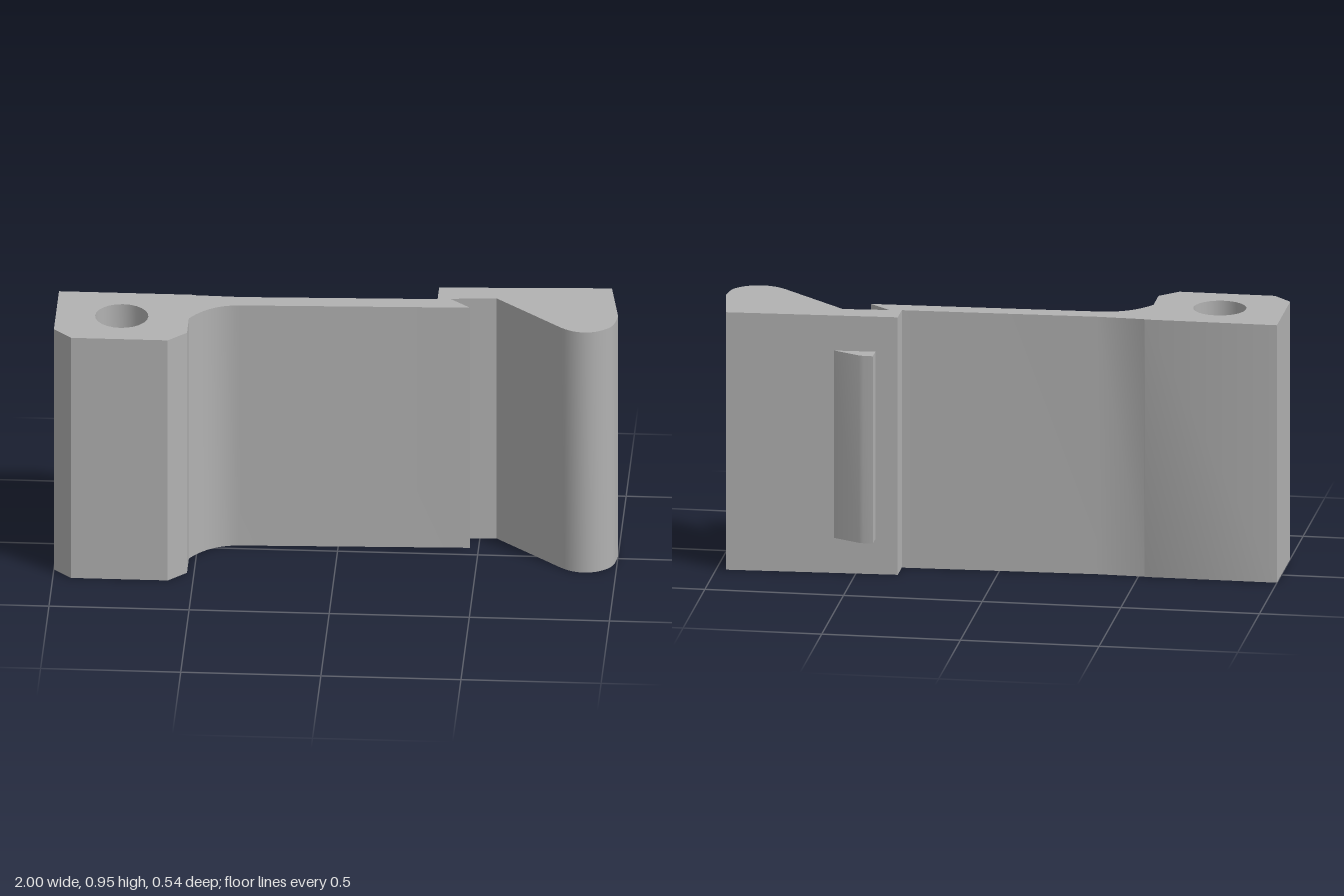
import * as THREE from 'three';
import { toCreasedNormals } from 'three/addons/utils/BufferGeometryUtils.js';

const HEIGHT = 0.955;

// Upright prism from a plan shape drawn in (x, -z)
function prism(name, shape, height, base, material) {
  const flat = new THREE.ExtrudeGeometry(shape, { depth: height, bevelEnabled: false, curveSegments: 12 });
  flat.rotateX(-Math.PI / 2);
  const mesh = new THREE.Mesh(toCreasedNormals(flat, 0.55), material);
  mesh.name = name;
  mesh.position.y = base;
  return mesh;
}

export function createModel() {
  const group = new THREE.Group();
  group.name = 'hingeClip';
  const grey = new THREE.MeshStandardMaterial({ color: 0xb2b2b2 });
  grey.name = 'plain grey';

  // Pivot block, thin arm, hook and finger grip in one continuous plan
  const plan = new THREE.Shape();
  const line = (...points) => points.forEach(([x, z]) => plan.lineTo(x, -z));
  plan.moveTo(-1, 0.1);
  // block front with chamfered corners
  line([-1, 0.205], [-0.935, 0.27], [-0.59, 0.27], [-0.525, 0.205], [-0.525, 0.09]);
  // fillet into the arm
  plan.quadraticCurveTo(-0.46, 0.02, -0.35, 0.025);
  // arm front, barbed tip and notch
  line([0.47, -0.055], [0.395, -0.122], [0.56, -0.135], [0.8, 0.083]);
  // rounded grip
  plan.bezierCurveTo(0.86, -0.135, 0.92, -0.125, 0.96, -0.09);
  plan.bezierCurveTo(0.99, -0.065, 0.993, -0.04, 1, 0.02);
  // grip back, step and arm back
  line([0.965, -0.24], [0.35, -0.21], [0.35, -0.117], [-0.35, -0.092], [-0.52, -0.097], [-0.525, -0.1], [-1, -0.1]);

  // Pin hole
  const hole = new THREE.Path();
  hole.absarc(-0.765, -0.085, 0.095, 0, Math.PI * 2, true);
  plan.holes.push(hole);
  group.add(prism('clipBody', plan, HEIGHT, 0, grey));

  // Wedge catch on the back
  const wedge = new THREE.Shape();
  wedge.moveTo(0.43, 0.205);
  wedge.lineTo(0.59, 0.215);
  wedge.lineTo(0.48, 0.27);
  wedge.lineTo(0.465, 0.273);
  wedge.lineTo(0.43, 0.273);
  group.add(prism('backCatch', wedge, 0.695, 0.13, grey));

  return group;
}
